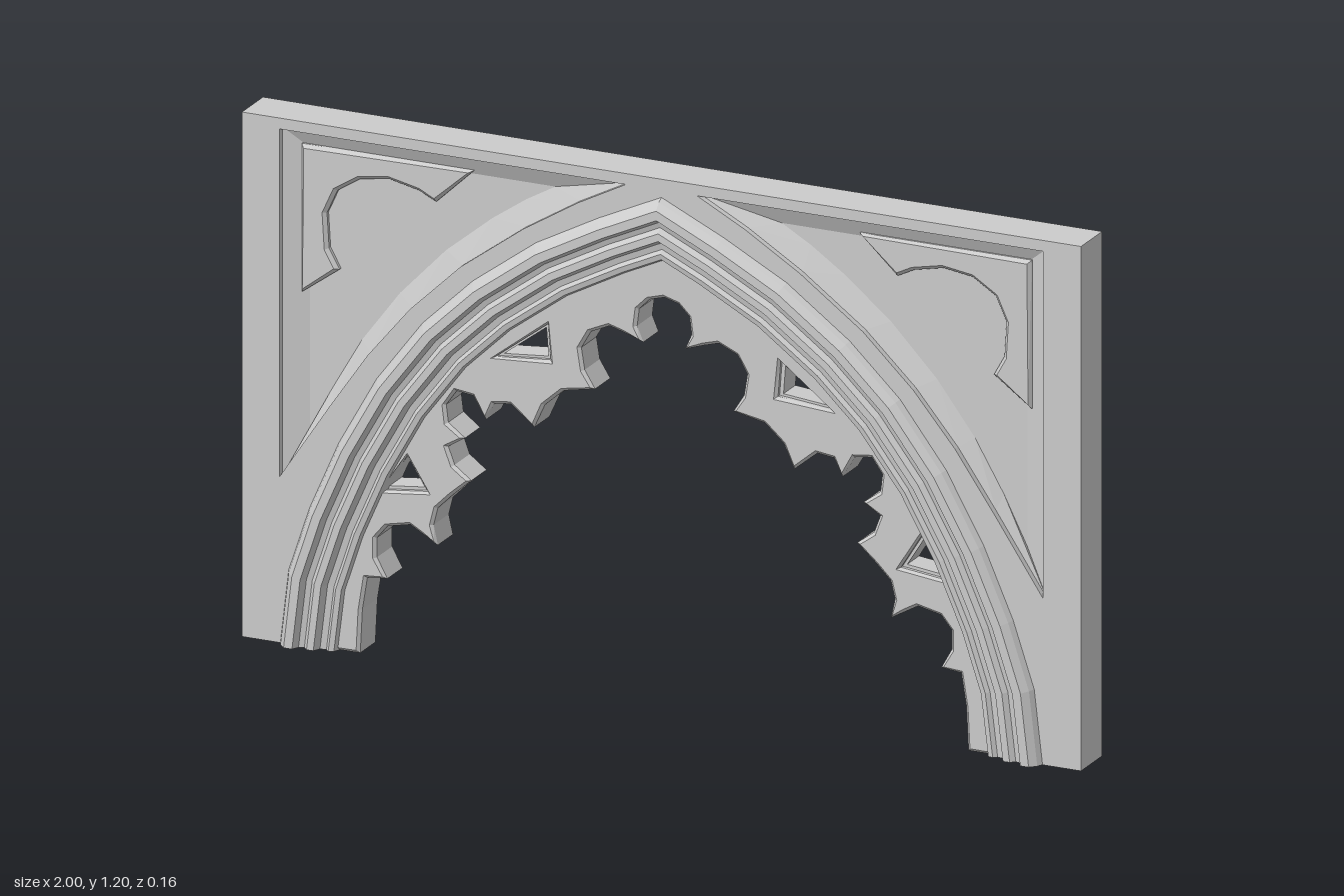
import * as THREE from 'three';

const stone = new THREE.MeshStandardMaterial({ color: 0xcccccc, flatShading: true, side: THREE.DoubleSide });
const vecs = (pts) => pts.map(([x, y]) => new THREE.Vector2(x, y));
const flip = (pts) => pts.map(([x, y]) => [-x, y]);

// Right half of the arch, springing to apex, then mirrored to the full path
const halfArch = [[0.91, 0], [0.89, 0.17], [0.84, 0.32], [0.77, 0.48], [0.68, 0.64], [0.57, 0.785],
  [0.45, 0.9], [0.3, 1.01], [0.15, 1.09], [0, 1.16]];
const arch = [...halfArch, ...flip(halfArch.slice(0, -1)).reverse()];

// Arch path moved inwards by s with mitred corners
function archOffset(s) {
  const dir = (a, b) => new THREE.Vector2(b[0] - a[0], b[1] - a[1]).normalize();
  return arch.map((p, i) => {
    const d1 = i ? dir(arch[i - 1], p) : new THREE.Vector2(0, 1);
    const d2 = i < arch.length - 1 ? dir(p, arch[i + 1]) : new THREE.Vector2(0, -1);
    if (i === 0) d2.set(0, 1);
    if (i === arch.length - 1) d1.set(0, -1);
    const k = s / (1 + d1.dot(d2));
    return [p[0] - (d1.y + d2.y) * k, p[1] + (d1.x + d2.x) * k];
  });
}

function slab(name, outline, holes, z0, z1, bevel = 0) {
  const shape = new THREE.Shape(vecs(outline));
  shape.holes = holes.map((h) => new THREE.Path(vecs(h)));
  const geo = new THREE.ExtrudeGeometry(shape, {
    depth: z1 - z0 - 2 * bevel, bevelEnabled: bevel > 0, bevelThickness: bevel,
    bevelSize: bevel, bevelOffset: -bevel, bevelSegments: 1,
  });
  geo.translate(0, 0, z0 + bevel);
  const mesh = new THREE.Mesh(geo, stone);
  mesh.name = name;
  return mesh;
}

// Stepped moulding: closed cross-section swept along the arch
function moulding() {
  const front = [[0, 0.05], [0.008, 0.066], [0.022, 0.08], [0.042, 0.08], [0.05, 0.064], [0.062, 0.06],
    [0.072, 0.07], [0.088, 0.07], [0.096, 0.053], [0.11, 0.05], [0.118, 0.058], [0.13, 0.055], [0.138, 0.036]];
  const profile = [...front, ...front.map(([s, z]) => [s, -z]).reverse()];
  const n = profile.length, m = arch.length;
  const rows = profile.map(([s]) => archOffset(s));
  const pos = [], idx = [];
  for (let i = 0; i < m; i++) profile.forEach(([, z], j) => pos.push(...rows[j][i], z));
  for (let i = 0; i < m - 1; i++) {
    for (let j = 0; j < n; j++) {
      const a = i * n + j, b = i * n + (j + 1) % n;
      idx.push(a, a + n, b, b, a + n, b + n);
    }
  }
  // Flat feet
  for (const t of THREE.ShapeUtils.triangulateShape(vecs(profile), [])) {
    idx.push(...t, ...t.map((v) => v + (m - 1) * n).reverse());
  }
  const geo = new THREE.BufferGeometry();
  geo.setAttribute('position', new THREE.Float32BufferAttribute(pos, 3));
  geo.setIndex(idx);
  geo.computeVertexNormals();
  const mesh = new THREE.Mesh(geo, stone);
  mesh.name = 'archMoulding';
  return mesh;
}

// Spandrel panel: outer and inner edges, corner first
const panelOuter = [[0.91, 1.175], [0.085, 1.175], [0.2, 1.115], [0.33, 1.035], [0.48, 0.925], [0.6, 0.81],
  [0.7, 0.69], [0.79, 0.56], [0.91, 0.38]];
const panelInner = [[0.855, 1.13], [0.27, 1.13], [0.34, 1.09], [0.42, 1.035], [0.53, 0.945], [0.64, 0.83],
  [0.73, 0.71], [0.8, 0.59], [0.855, 0.48]];
// Foiled infill in the panel corner with its two cusps
const cornerFoil = [[0.87, 1.14], [0.46, 1.14], [0.55, 1.055], [0.59, 1.075], [0.66, 1.09], [0.73, 1.08],
  [0.785, 1.045], [0.81, 0.99], [0.805, 0.91], [0.78, 0.865], [0.87, 0.8]];

// Sloping frame between the panel edges
function panelSlope(side, zOut, zIn) {
  const pos = [], idx = [], n = panelOuter.length;
  panelOuter.forEach(([x, y]) => pos.push(side * x, y, zOut));
  panelInner.forEach(([x, y]) => pos.push(side * x, y, zIn));
  for (let i = 0; i < n; i++) {
    const j = (i + 1) % n;
    const quad = [i, j, n + i, j, n + j, n + i];
    idx.push(...(side > 0 ? quad : quad.reverse()));
  }
  const geo = new THREE.BufferGeometry();
  geo.setAttribute('position', new THREE.Float32BufferAttribute(pos, 3));
  geo.setIndex(idx);
  geo.computeVertexNormals();
  const mesh = new THREE.Mesh(geo, stone);
  mesh.name = 'panelSlope';
  return mesh;
}

// Cusped inner edge of the tracery, springing to crown
const cusps = [[0.725, 0], [0.72, 0.1], [0.708, 0.175], [0.66, 0.18], [0.685, 0.225], [0.685, 0.27], [0.66, 0.3],
  [0.605, 0.312], [0.575, 0.295], [0.54, 0.275], [0.55, 0.32], [0.54, 0.36], [0.505, 0.395], [0.46, 0.435],
  [0.5, 0.465], [0.515, 0.505], [0.475, 0.53], [0.515, 0.56], [0.52, 0.6], [0.495, 0.635], [0.455, 0.63],
  [0.425, 0.58], [0.405, 0.62], [0.365, 0.625], [0.31, 0.58], [0.285, 0.635], [0.24, 0.675], [0.165, 0.69],
  [0.19, 0.73], [0.198, 0.78], [0.175, 0.82], [0.13, 0.84], [0.095, 0.83], [0.05, 0.815], [0.065, 0.85],
  [0.06, 0.89], [0.035, 0.915], [0, 0.925]];
const eyes = [
  [[0.625, 0.48], [0.575, 0.4], [0.66, 0.39]],
  [[0.285, 0.81], [0.28, 0.745], [0.385, 0.735]],
];

// Eye openings on both sides, grown about their centres
function eyeHoles(scale) {
  return eyes.flatMap((eye) => {
    const cx = (eye[0][0] + eye[1][0] + eye[2][0]) / 3, cy = (eye[0][1] + eye[1][1] + eye[2][1]) / 3;
    const grown = eye.map(([x, y]) => [cx + (x - cx) * scale, cy + (y - cy) * scale]);
    return [grown, flip(grown)];
  });
}

export function createModel() {
  const group = new THREE.Group();
  group.name = 'traceriedArch';

  // Wall core and the two pierced faces
  const wall = [...archOffset(0.05), [-1, 0], [-1, 1.2], [1, 1.2], [1, 0]];
  group.add(slab('wallCore', wall, [], -0.016, 0.016));
  const panels = [panelOuter, flip(panelOuter)];
  group.add(slab('wallFrontFace', wall, panels, 0.016, 0.053));
  group.add(slab('wallBackFace', wall, panels, -0.053, -0.016));

  // Spandrel panels on both faces
  for (const side of [1, -1]) {
    const foil = side > 0 ? cornerFoil : flip(cornerFoil);
    for (const face of [1, -1]) {
      group.add(panelSlope(side, face * 0.038, face * 0.017));
      const z = face > 0 ? [0.01, 0.034] : [-0.034, -0.01];
      const corner = slab('panelFoil', foil, [], ...z, 0.008);
      group.add(corner);
    }
  }

  group.add(moulding());

  // Cusped tracery: thin web with raised layers leaving pockets round the eyes
  const edge = [...archOffset(0.11), ...flip(cusps), ...cusps.slice(0, -1).reverse()];
  group.add(slab('traceryWeb', edge, eyeHoles(1), -0.03, 0.03));
  group.add(slab('traceryFront', edge, eyeHoles(1.25), 0.02, 0.045, 0.007));
  group.add(slab('traceryBack', edge, eyeHoles(1.25), -0.045, -0.02, 0.007));
  return group;
}
